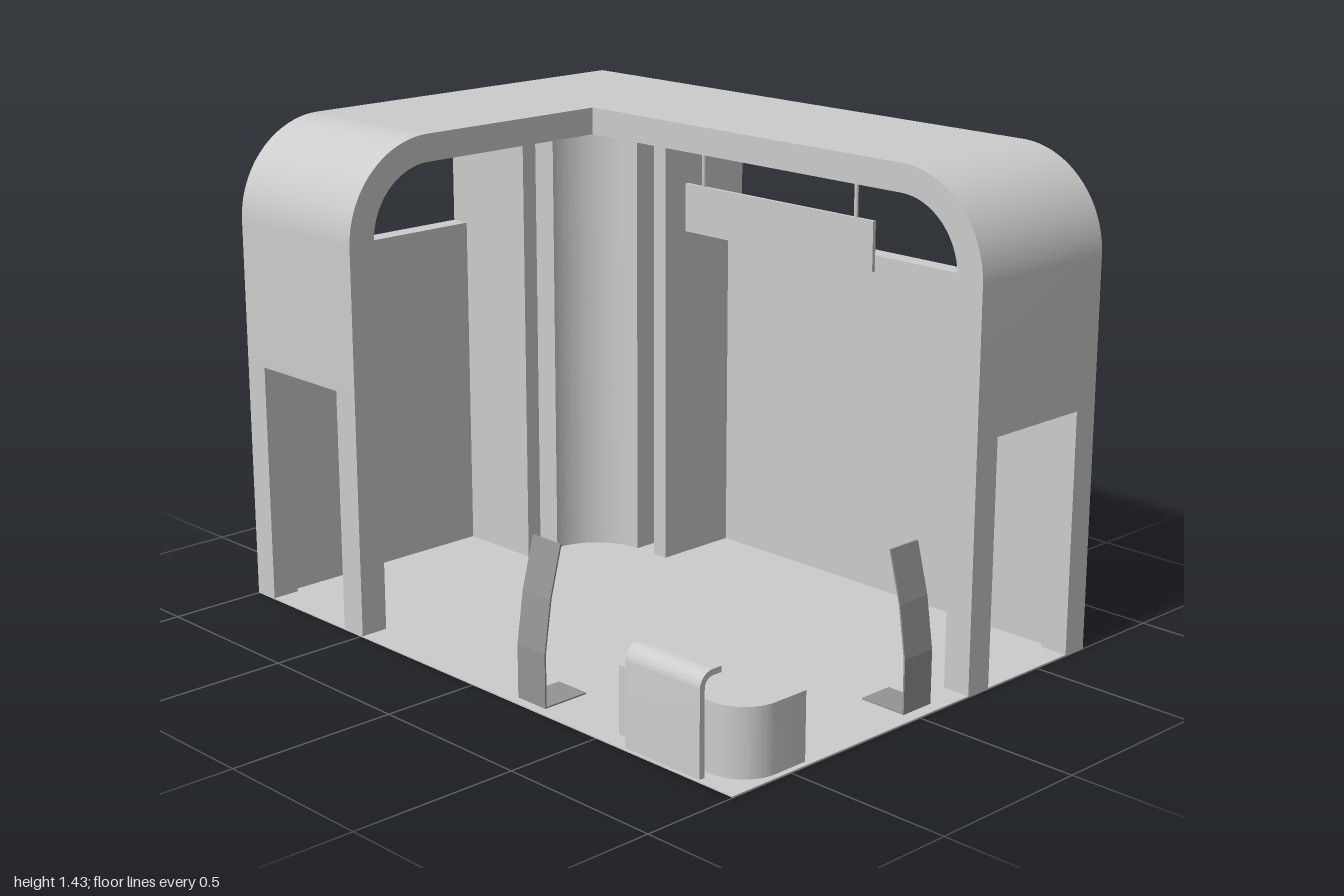
import * as THREE from 'three';
import { toCreasedNormals } from 'three/addons/utils/BufferGeometryUtils.js';

const shellMat = new THREE.MeshStandardMaterial({ color: 0xcccccc });
shellMat.name = 'light grey';
const standMat = new THREE.MeshStandardMaterial({ color: 0x949494 });
standMat.name = 'dark grey';

export function createModel() {
  const model = new THREE.Group();
  model.name = 'exhibitionBooth';

  function add(name, geo, mat = shellMat, parent = model) {
    const mesh = new THREE.Mesh(geo, mat);
    mesh.name = name;
    parent.add(mesh);
    return mesh;
  }

  // box given by its minimum and maximum on each axis
  function block(name, [x0, x1], [y0, y1], [z0, z1], parent = model) {
    const geo = new THREE.BoxGeometry(x1 - x0, y1 - y0, z1 - z0);
    geo.translate((x0 + x1) / 2, (y0 + y1) / 2, (z0 + z1) / 2);
    return add(name, geo, shellMat, parent);
  }

  function extrude(shape, depth) {
    const geo = new THREE.ExtrudeGeometry(shape, { depth, bevelEnabled: false, curveSegments: 20 });
    return toCreasedNormals(geo, 0.5);
  }

  // plan shape drawn in (x, z), raised from the floor
  function raised(name, shape, height) {
    const geo = extrude(shape, height);
    geo.rotateX(Math.PI / 2);
    geo.translate(0, height, 0);
    return add(name, geo);
  }

  const TOP = 1.43, UNDER = 1.35, DOOR = 0.72;

  // roof slab that bends down into a leg with a doorway through it
  function arch(name, start, end, [z0, z1], [d0, d1]) {
    const group = new THREE.Group();
    group.name = name;
    const inner = end - 0.085, c = end - 0.285;
    const s = new THREE.Shape();
    s.moveTo(start, UNDER);
    s.lineTo(c, UNDER);
    s.absarc(c, UNDER - 0.2, 0.2, Math.PI / 2, 0, true);
    s.lineTo(inner, DOOR);
    s.lineTo(end, DOOR);
    s.lineTo(end, TOP - 0.285);
    s.absarc(c, TOP - 0.285, 0.285, 0, Math.PI / 2, false);
    s.lineTo(start, TOP);
    const geo = extrude(s, z1 - z0);
    geo.translate(0, 0, z0);
    add('roofAndCurve', geo, shellMat, group);
    block('doorJamb', [inner, end], [0, DOOR], [z0, d0], group);
    block('doorJamb', [inner, end], [0, DOOR], [d1, z1], group);
    model.add(group);
    return group;
  }

  block('floor', [-1, 1], [0, 0.004], [-0.71, 0.71]);
  arch('backArch', -1, 1, [-0.71, -0.2], [-0.63, -0.285]);
  arch('sideArch', -0.2, 0.71, [0.49, 1], [0.575, 0.92]).rotation.y = -Math.PI / 2;

  // corner store room with a hollow curved inner corner
  const corner = new THREE.Shape();
  corner.moveTo(-1, -0.71);
  corner.lineTo(-0.49, -0.71);
  corner.lineTo(-0.49, -0.38);
  corner.absarc(-0.49, -0.2, 0.18, -Math.PI / 2, -Math.PI, true);
  corner.lineTo(-1, -0.2);
  raised('cornerRoom', corner, UNDER);

  // fins beside the gaps, and the low walls
  block('backFin', [-0.415, -0.365], [0, UNDER], [-0.71, -0.38]);
  block('sideFin', [-1, -0.67], [0, UNDER], [-0.13, -0.08]);
  block('backWall', [-0.365, 0.915], [0, 1.03], [-0.71, -0.65]);
  block('sideWall', [-1, -0.94], [0, 1.03], [-0.08, 0.625]);

  // hanging sign on two rods
  block('signBoard', [-0.09, 0.625], [1.12, 1.26], [-0.205, -0.194]);
  for (const x of [-0.022, 0.558]) {
    const rod = new THREE.CylinderGeometry(0.006, 0.006, 0.092, 10);
    add('signRod', rod).position.set(x, 1.304, -0.2);
  }

  // L-shaped counter with a rounded outer corner
  const counter = new THREE.Shape();
  counter.moveTo(0.53, 0.57);
  counter.lineTo(0.87, 0.57);
  counter.absarc(0.87, 0.54, 0.03, Math.PI / 2, 0, true);
  counter.lineTo(0.9, 0.43);
  counter.lineTo(0.983, 0.43);
  counter.lineTo(0.983, 0.54);
  counter.absarc(0.868, 0.54, 0.115, 0, Math.PI / 2, false);
  counter.lineTo(0.53, 0.655);
  raised('counter', counter, 0.2);

  // curved front panel folded over the counter
  const panel = new THREE.Shape();
  panel.moveTo(0.685, 0);
  panel.lineTo(0.702, 0);
  panel.lineTo(0.702, 0.245);
  panel.absarc(0.657, 0.245, 0.045, 0, Math.PI / 2, false);
  panel.lineTo(0.627, 0.29);
  panel.lineTo(0.627, 0.273);
  panel.lineTo(0.657, 0.273);
  panel.absarc(0.657, 0.245, 0.028, Math.PI / 2, 0, true);
  const front = add('counterPanel', extrude(panel, 0.27));
  front.rotation.y = -Math.PI / 2;
  front.position.x = 0.875;

  // bent sheet stands leaning inward
  const lean = [[0, 0.16], [-0.022, 0.31], [-0.06, 0.455]];
  const sheet = new THREE.Shape([
    [-0.148, 0], [0, 0], ...lean,
    ...lean.map(([x, y]) => [x - 0.005, y]).reverse(),
    [-0.005, 0.008], [-0.148, 0.008],
  ].map(([x, y]) => new THREE.Vector2(x, y)));
  const sheetGeo = new THREE.ExtrudeGeometry(sheet, { depth: 0.11, bevelEnabled: false });
  add('sideStand', sheetGeo, standMat).position.set(0.962, 0, -0.087);
  const frontStand = add('frontStand', sheetGeo, standMat);
  frontStand.rotation.y = -Math.PI / 2;
  frontStand.position.set(0.27, 0, 0.682);

  return model;
}
